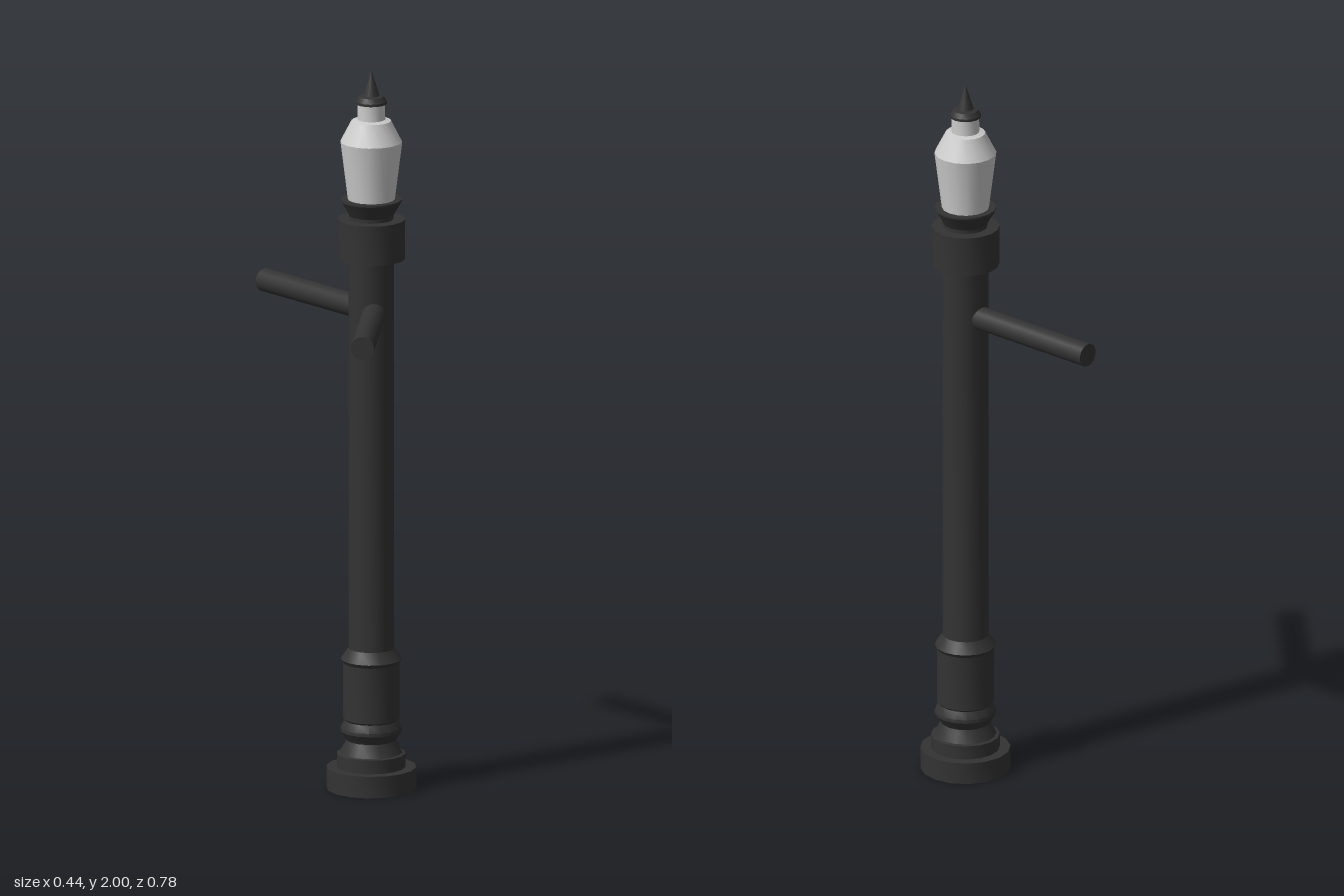
import * as THREE from 'three';
import { toCreasedNormals } from 'three/addons/utils/BufferGeometryUtils.js';

const SIDES = 16;
const AXIS = new THREE.Vector3(0.0975, 0, 0.055);

export function createModel() {
  const model = new THREE.Group();
  model.name = 'streetLamp';
  const iron = new THREE.MeshStandardMaterial({ color: 0x333333 });
  const pale = new THREE.MeshStandardMaterial({ color: 0xcccccc });

  // Turned part on the post axis: profile of [radius, height], bottom to top
  const turned = (name, profile, material) => {
    const points = profile.map(([r, y]) => new THREE.Vector2(r, y));
    const geometry = toCreasedNormals(new THREE.LatheGeometry(points, SIDES), 0.5);
    const mesh = new THREE.Mesh(geometry, material);
    mesh.name = name;
    mesh.position.copy(AXIS);
    model.add(mesh);
  };

  // Round bar between two points
  const bar = (name, from, to, radius) => {
    const direction = to.clone().sub(from);
    const mesh = new THREE.Mesh(
      new THREE.CylinderGeometry(radius, radius, direction.length(), SIDES), iron);
    mesh.name = name;
    mesh.position.copy(from).add(to).multiplyScalar(0.5);
    mesh.quaternion.setFromUnitVectors(new THREE.Vector3(0, 1, 0), direction.normalize());
    model.add(mesh);
  };

  // Stepped foot and moulded pedestal
  turned('base', [[0, 0], [0.122, 0], [0.122, 0.06], [0, 0.06]], iron);
  turned('pedestal', [
    [0.093, 0.06], [0.093, 0.098], [0.084, 0.1], [0.067, 0.135],
    [0.083, 0.16], [0.083, 0.17], [0.072, 0.19], [0.077, 0.195],
    [0.077, 0.35], [0.083, 0.36], [0.062, 0.39],
  ], iron);

  // Post with collar and flared lamp seat
  turned('post', [[0.062, 0.38], [0.062, 1.48]], iron);
  turned('collar', [[0.06, 1.475], [0.092, 1.475], [0.092, 1.585], [0, 1.585]], iron);
  turned('lampSeat', [[0.06, 1.585], [0.06, 1.595], [0.083, 1.635], [0.083, 1.64], [0, 1.64]], iron);

  // Lantern
  turned('glass', [[0.064, 1.64], [0.084, 1.8]], pale);
  turned('lanternCap', [
    [0.084, 1.8], [0.054, 1.858], [0.038, 1.862], [0.037, 1.905], [0, 1.905],
  ], pale);
  turned('finial', [
    [0, 1.905], [0.042, 1.905], [0.042, 1.912], [0.034, 1.925],
    [0.022, 1.928], [0, 2],
  ], iron);

  // Two cross arms, one straight back and one diagonal to the front
  bar('backArm', new THREE.Vector3(AXIS.x, 1.33, AXIS.z), new THREE.Vector3(AXIS.x, 1.33, -0.39), 0.032);
  bar('frontArm', new THREE.Vector3(AXIS.x, 1.33, 0.07), new THREE.Vector3(-0.198, 1.33, 0.366), 0.032);

  return model;
}
